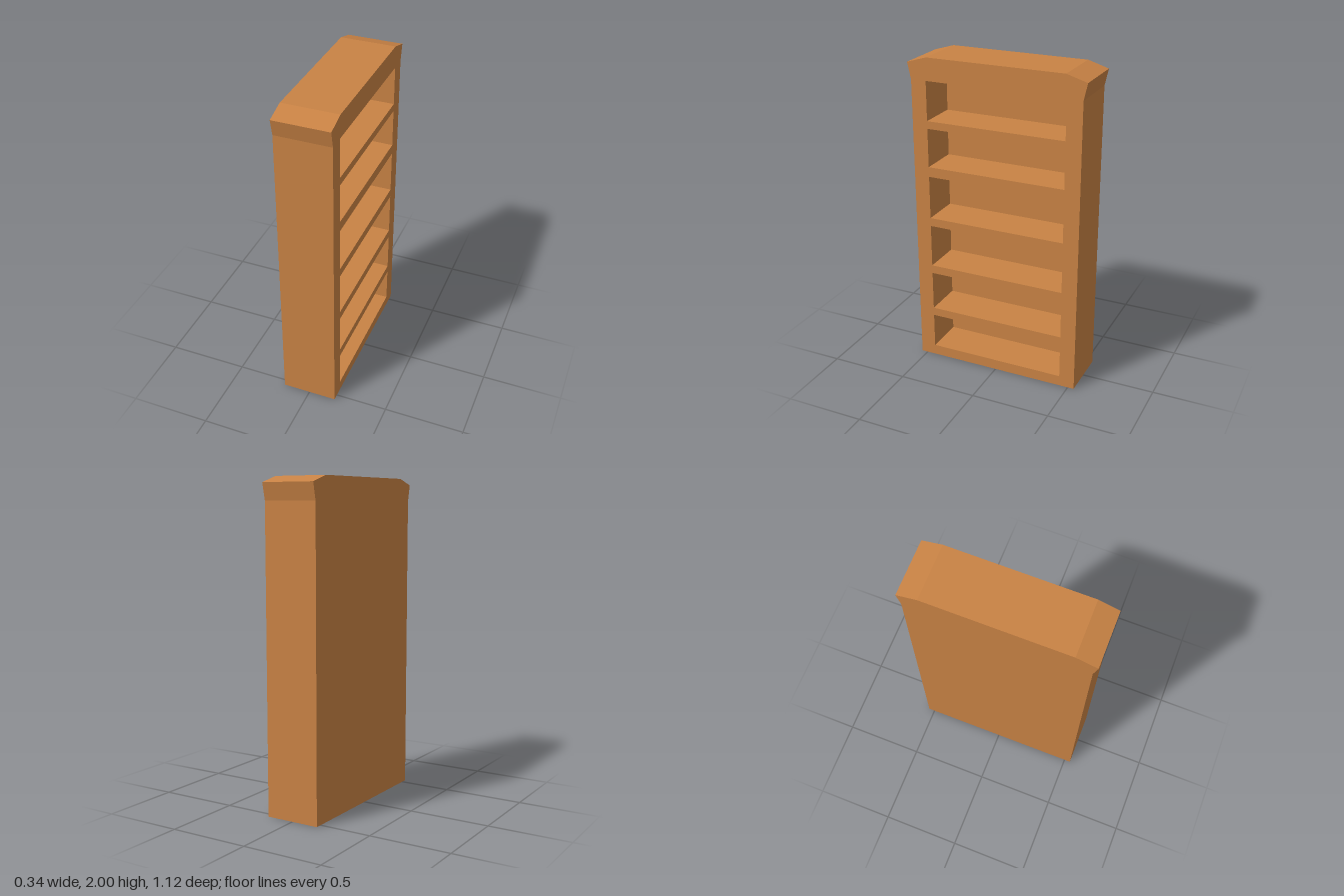
import * as THREE from 'three';

export function createModel() {
  const group = new THREE.Group();
  group.name = 'bookcase';
  const wood = new THREE.MeshStandardMaterial({ color: 0xc88244, flatShading: true });

  const halfDepth = 0.172;
  const backThickness = 0.087;
  const openingHalfWidth = 0.442;
  // bottom and top height of each compartment
  const openings = [
    [0.067, 0.295], [0.348, 0.602], [0.656, 0.931],
    [0.985, 1.26], [1.323, 1.567], [1.615, 1.86],
  ];

  // Case outline with flared, chamfered crown
  const half = [[0.54, 0], [0.54, 1.86], [0.5625, 1.962], [0.435, 2]];
  const mirrored = half.map(([u, v]) => [-u, v]).reverse();
  const outline = new THREE.Shape([...half, ...mirrored].map(([u, v]) => new THREE.Vector2(u, v)));

  for (const [low, high] of openings) {
    const w = openingHalfWidth;
    outline.holes.push(new THREE.Path([
      new THREE.Vector2(-w, low), new THREE.Vector2(-w, high),
      new THREE.Vector2(w, high), new THREE.Vector2(w, low),
    ]));
  }

  // Sides, shelves and crown in one piece, open towards +x
  const caseGeometry = new THREE.ExtrudeGeometry(outline, { depth: 2 * halfDepth, bevelEnabled: false });
  caseGeometry.translate(0, 0, -halfDepth).rotateY(Math.PI / 2);
  const frame = new THREE.Mesh(caseGeometry, wood);
  frame.name = 'caseAndShelves';
  group.add(frame);

  // Thick back closing each compartment, flush with the rear
  openings.forEach(([low, high], i) => {
    const back = new THREE.Mesh(new THREE.BoxGeometry(backThickness, high - low, 2 * openingHalfWidth), wood);
    back.position.set(-halfDepth + backThickness / 2, (low + high) / 2, 0);
    back.name = `backPanel${i + 1}`;
    group.add(back);
  });

  return group;
}
